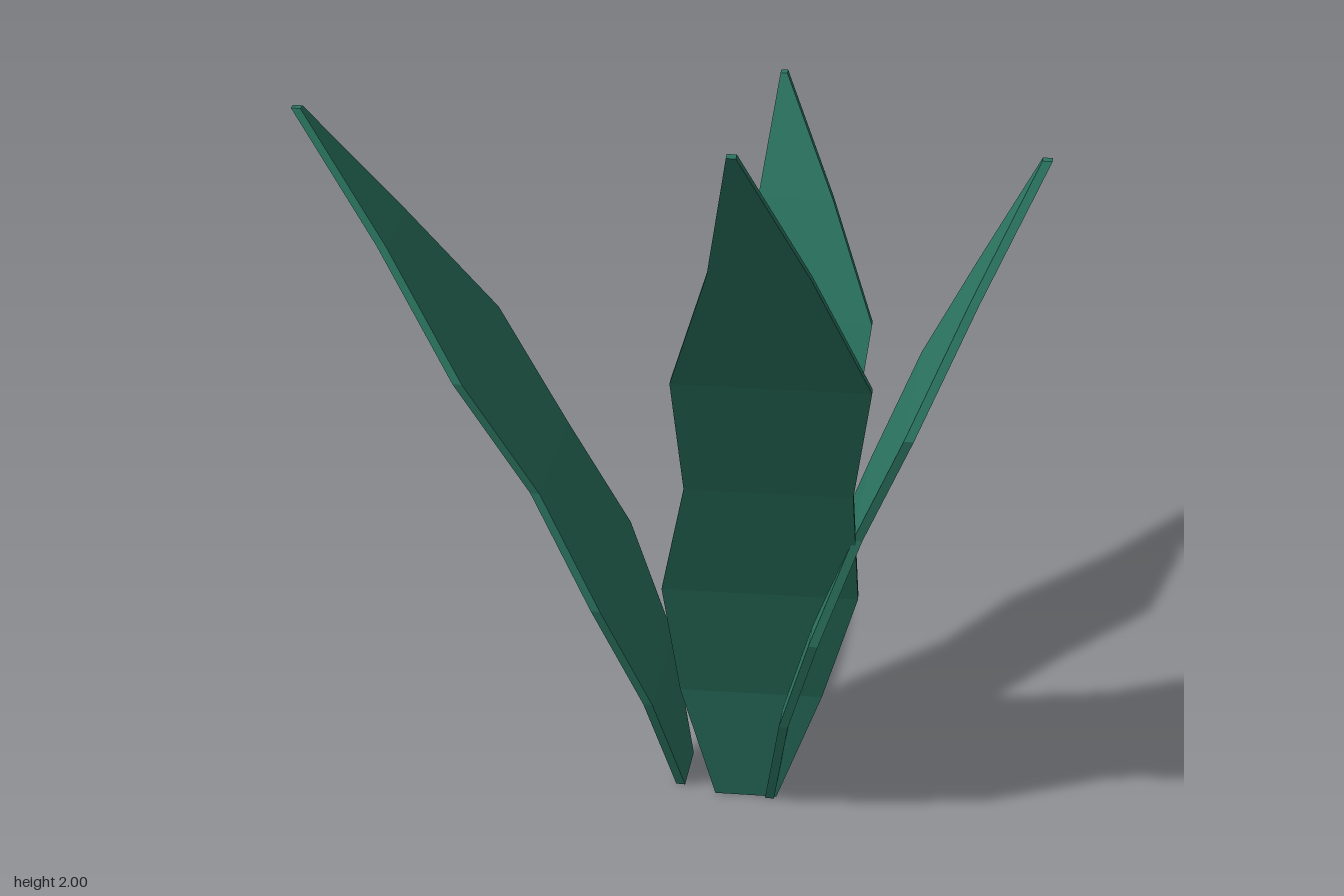
import * as THREE from 'three';

const SEGMENTS = 6;
// half width of a blade at each level, base to tip
const HALF_WIDTHS = [0.075, 0.17, 0.228, 0.19, 0.218, 0.108, 0.01];
const THICKNESS = 0.022;

// A thin box bent outwards along its heading, with a wavy outline
function leafGeometry({ height, reach, width, sway }) {
  const geometry = new THREE.BoxGeometry(1, 1, 1, 1, SEGMENTS, 1);
  const p = geometry.attributes.position;
  for (let i = 0; i < p.count; i++) {
    const t = p.getY(i) + 0.5;
    const half = HALF_WIDTHS[Math.round(t * SEGMENTS)] * width;
    const side = sway * 0.067 * Math.sin(Math.PI * t ** 1.6);
    const out = reach * t ** 1.45;
    p.setXYZ(i, p.getX(i) * 2 * half + side, t * height, p.getZ(i) * THICKNESS + out);
  }
  geometry.computeVertexNormals();
  return geometry;
}

export function createModel() {
  const group = new THREE.Group();
  group.name = 'plant';

  const leafGreen = new THREE.MeshStandardMaterial({ color: 0x2b7560, flatShading: true });
  leafGreen.name = 'leafGreen';

  // x, z: foot of the leaf; heading: turn about y, 0 leans to the front
  const leaves = [
    { name: 'frontLeaf', x: 0.215, z: 0.083, heading: 0.14, height: 2, reach: 0.66, width: 1, sway: 1 },
    { name: 'leftLeaf', x: 0.27, z: 0.02, heading: Math.PI / 2 + 0.08, height: 1.72, reach: 0.575, width: 0.99, sway: -1 },
    { name: 'backLeaf', x: 0.19, z: -0.053, heading: Math.PI + 0.12, height: 1.57, reach: 0.685, width: 0.85, sway: -1 },
    { name: 'rightLeaf', x: 0.045, z: 0.02, heading: -Math.PI / 2 + 0.08, height: 1.72, reach: 0.895, width: 0.92, sway: 0 },
  ];

  for (const leaf of leaves) {
    const mesh = new THREE.Mesh(leafGeometry(leaf), leafGreen);
    mesh.name = leaf.name;
    mesh.position.set(leaf.x, 0, leaf.z);
    mesh.rotation.y = leaf.heading;
    group.add(mesh);
  }
  return group;
}
